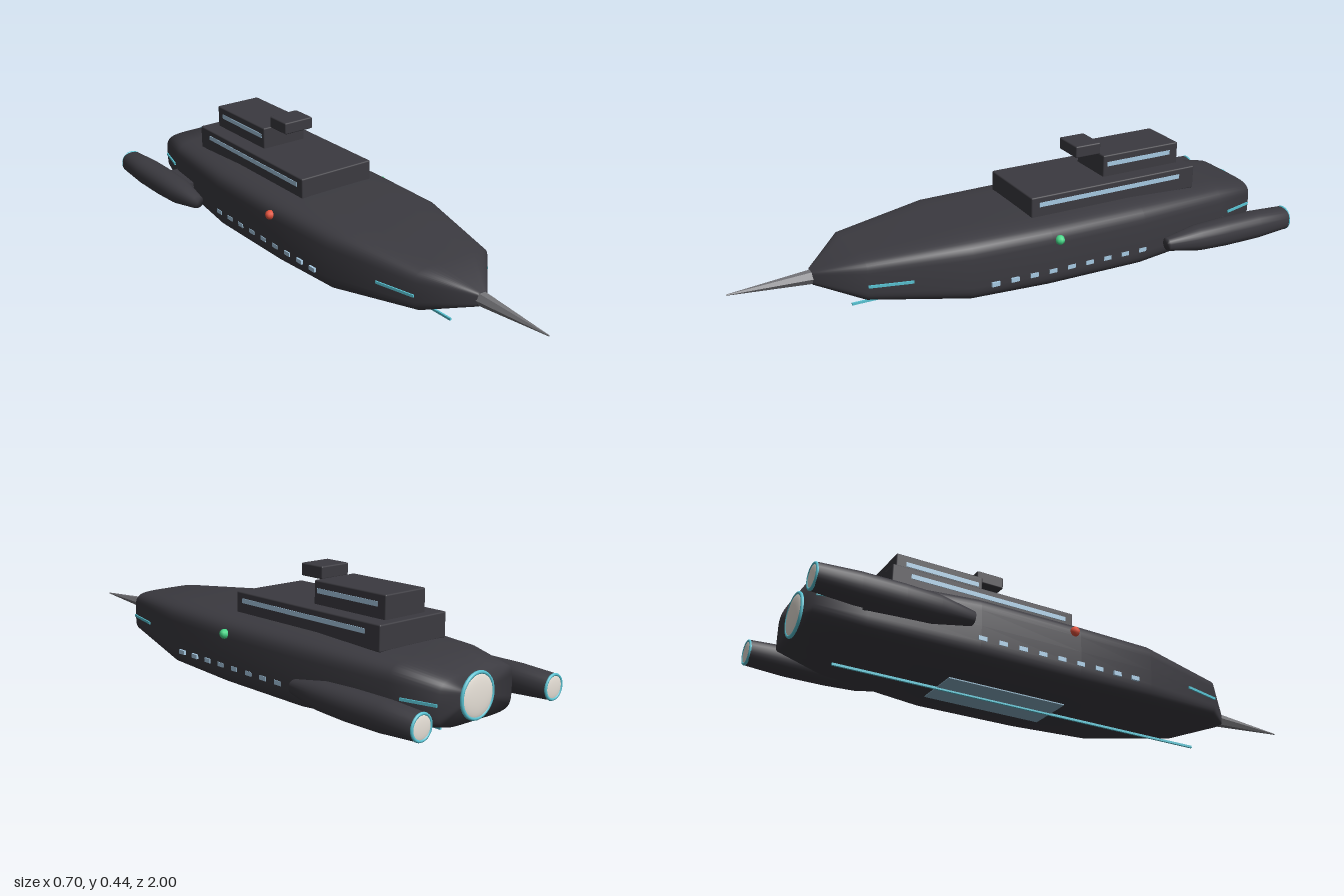
import * as THREE from 'three';
import { RoundedBoxGeometry } from 'three/addons/geometries/RoundedBoxGeometry.js';

const mat = (name, color, extra = {}) => {
  const m = new THREE.MeshStandardMaterial({ color, ...extra });
  m.name = name;
  return m;
};

// hull stations, bow to stern: [z, half width, bottom y, top y]
const HULL = [
  [0.72, 0.022, 0.115, 0.165],
  [0.58, 0.155, 0.072, 0.225],
  [0.24, 0.236, 0.022, 0.256],
  [-0.05, 0.246, 0.012, 0.256],
  [-0.42, 0.246, 0.01, 0.256],
  [-0.78, 0.207, 0.03, 0.24],
  [-0.94, 0.165, 0.062, 0.214],
];

// nacelle stations, front to back
const NACELLE = [
  [-0.48, 0.024, 0.096, 0.142],
  [-0.605, 0.047, 0.074, 0.162],
  [-0.72, 0.051, 0.069, 0.166],
  [-0.86, 0.051, 0.069, 0.166],
  [-0.993, 0.043, 0.077, 0.159],
];

// half width of the hull at a given z
function hullWidth(z) {
  for (let i = 0; i < HULL.length - 1; i++) {
    const [z0, w0] = HULL[i], [z1, w1] = HULL[i + 1];
    if (z <= z0 && z >= z1) return w0 + (w1 - w0) * (z0 - z) / (z0 - z1);
  }
  return HULL[HULL.length - 1][1];
}

// closed smooth body through superellipse sections
function loft(stations, power, sides) {
  const pos = [], idx = [];
  const bend = v => Math.sign(v) * Math.abs(v) ** (2 / power);
  for (const [z, w, lo, hi] of stations) {
    for (let j = 0; j < sides; j++) {
      const a = (j / sides) * Math.PI * 2;
      pos.push(w * bend(Math.cos(a)), (lo + hi) / 2 + (hi - lo) / 2 * bend(Math.sin(a)), z);
    }
  }
  const last = stations.length - 1;
  const front = pos.length / 3, back = front + 1;
  for (const s of [stations[0], stations[last]]) pos.push(0, (s[2] + s[3]) / 2, s[0]);
  for (let j = 0; j < sides; j++) {
    const k = (j + 1) % sides;
    for (let i = 0; i < last; i++) {
      const a = i * sides + j, b = i * sides + k;
      idx.push(a, a + sides, b, b, a + sides, b + sides);
    }
    idx.push(front, j, k, back, last * sides + k, last * sides + j);
  }
  const g = new THREE.BufferGeometry();
  g.setAttribute('position', new THREE.Float32BufferAttribute(pos, 3));
  g.setIndex(idx);
  g.computeVertexNormals();
  return g;
}

export function createModel() {
  const model = new THREE.Group();
  model.name = 'ship';
  const hullMat = mat('charcoal hull', 0x3b3a40);
  const spikeMat = mat('grey metal', 0x747478, { flatShading: true });
  const windowMat = mat('pale blue window', 0xa6c9e2);
  const tealMat = mat('teal trim', 0x58c2d2);
  const plateMat = mat('blue belly plate', 0x85a9be);
  const glowMat = mat('white engine', 0xfff8ee);
  const redMat = mat('red light', 0xe2523c);
  const greenMat = mat('green light', 0x46d888);

  const add = (name, geo, material, x = 0, y = 0, z = 0) => {
    const m = new THREE.Mesh(geo, material);
    m.name = name;
    m.position.set(x, y, z);
    model.add(m);
    return m;
  };
  // centred box given by half width and its y and z extents
  const box = (name, material, w, y0, y1, z0, z1) =>
    add(name, new THREE.BoxGeometry(w * 2, y1 - y0, z1 - z0), material, 0, (y0 + y1) / 2, (z0 + z1) / 2);
  // the same with slightly softened edges
  const deck = (name, w, y0, y1, z0, z1) =>
    add(name, new RoundedBoxGeometry(w * 2, y1 - y0, z1 - z0, 2, 0.005), hullMat, 0, (y0 + y1) / 2, (z0 + z1) / 2);
  // thin trim lying on the hull side between two z positions
  const hullTrim = (name, side, y, z0, z1) => {
    const x0 = hullWidth(z0), x1 = hullWidth(z1);
    const m = add(name, new THREE.BoxGeometry(0.0095, 0.009, Math.hypot(x1 - x0, z1 - z0)),
      tealMat, side * (x0 + x1) / 2, y, (z0 + z1) / 2);
    m.rotation.y = side * Math.atan2(x1 - x0, z1 - z0);
  };
  // glowing dome with a trim ring, facing aft
  const engine = (name, x, y, z, r, tube) => {
    add(name + 'Ring', new THREE.TorusGeometry(r, tube, 8, 32), tealMat, x, y, z);
    add(name + 'Glow', new THREE.SphereGeometry(r, 24, 16), glowMat, x, y, z).scale.z = 0.15;
  };

  // hull and bow spike
  add('hull', loft(HULL, 5, 48), hullMat);
  const spikeGeo = new THREE.CylinderGeometry(0.002, 0.025, 0.29, 6, 1, false, Math.PI / 6);
  add('bowSpike', spikeGeo, spikeMat, 0, 0.138, 0.855).rotation.x = Math.PI / 2;

  // stepped superstructure
  deck('lowerDeck', 0.148, 0.24, 0.325, -0.69, -0.02);
  deck('upperDeck', 0.089, 0.32, 0.403, -0.655, -0.34);
  deck('bridge', 0.059, 0.4, 0.443, -0.345, -0.245);

  // stern engine and belly details
  engine('mainEngine', 0, 0.138, -0.943, 0.07, 0.006);
  box('keelLine', tealMat, 0.0035, 0, 0.008, -0.81, 0.585);
  box('bellyPlate', plateMat, 0.09, 0.006, 0.01, -0.45, -0.02);

  for (const side of [-1, 1]) {
    // deck window bands
    add('lowerDeckWindows', new THREE.BoxGeometry(0.006, 0.016, 0.575), windowMat, side * 0.147, 0.296, -0.338);
    add('upperDeckWindows', new THREE.BoxGeometry(0.006, 0.016, 0.265), windowMat, side * 0.088, 0.37, -0.488);

    // row of portholes
    for (let i = 0; i < 9; i++) {
      add('porthole', new THREE.BoxGeometry(0.008, 0.015, 0.03), windowMat,
        side * 0.2435, 0.09, 0.166 - i * 0.0725);
    }

    // bow and stern trim
    hullTrim('bowTrim', side, 0.138, 0.58, 0.435);
    hullTrim('sternTrim', side, 0.138, -0.82, -0.935);

    // navigation light
    add('navigationLight', new THREE.SphereGeometry(0.017, 8, 6), side > 0 ? greenMat : redMat,
      side * 0.2475, 0.201, -0.075);

    // nacelle, pylon and thruster
    add('nacelle', loft(NACELLE, 2.3, 24), hullMat, side * 0.299);
    add('pylon', new THREE.BoxGeometry(0.1, 0.02, 0.16), hullMat, side * 0.24, 0.115, -0.72);
    engine('nacelleEngine', side * 0.299, 0.118, -0.994, 0.039, 0.005);
  }
  return model;
}
